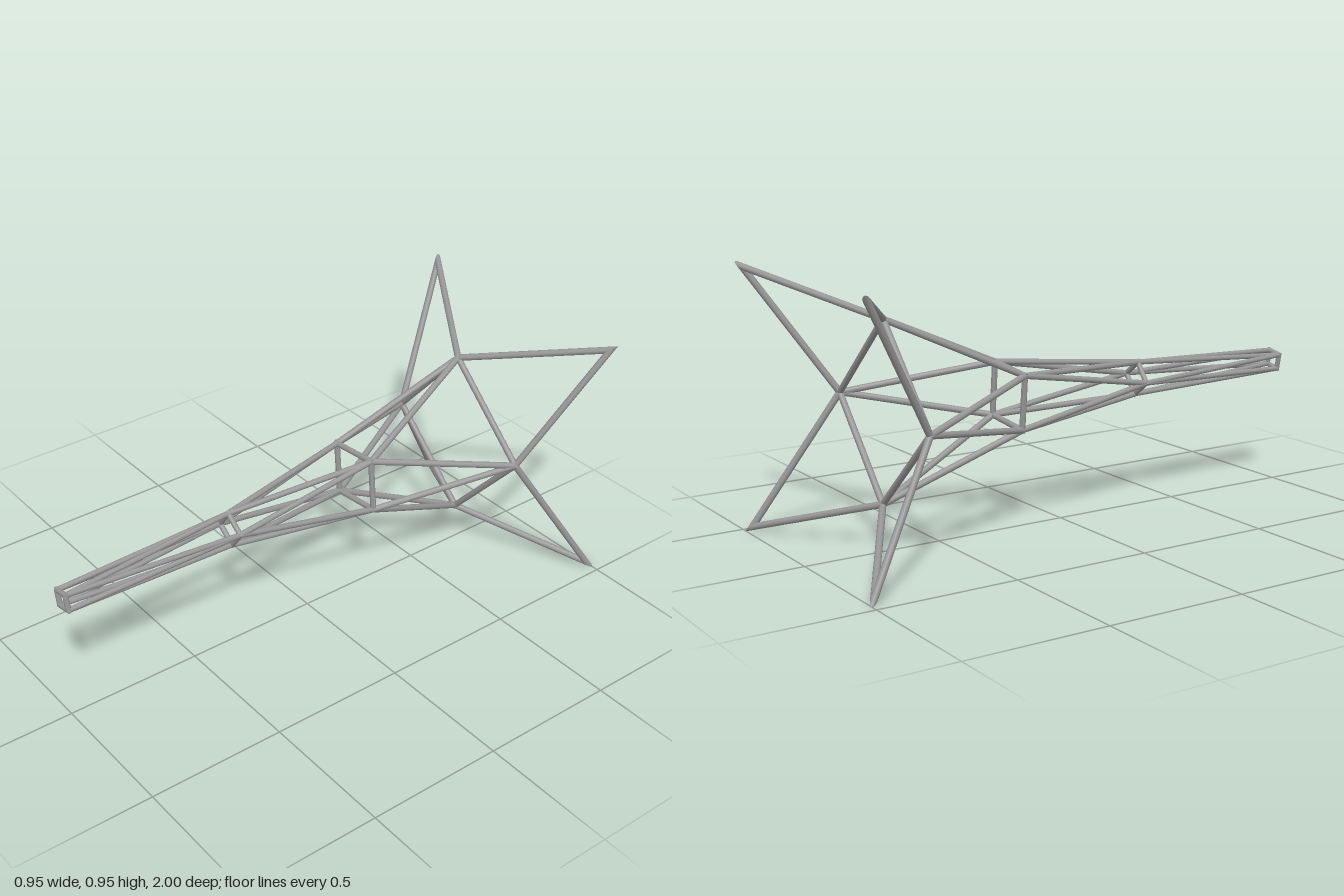
import * as THREE from 'three';

const steel = new THREE.MeshStandardMaterial({ color: 0x969696 });
steel.name = 'grey steel';

const CENTRE_Y = 0.4725;
// rings of four nodes from the wide back to the narrow front; each turns 45 degrees plus a slight twist
const rings = [
  { name: 'tip', radius: 0.643, z: -0.984, tube: 0.012 },
  { name: 'rear', radius: 0.315, z: -0.703, tube: 0.0115 },
  { name: 'shoulder', radius: 0.137, z: -0.216, tube: 0.0105 },
  { name: 'neck', radius: 0.061, z: 0.332, tube: 0.0095 },
  { name: 'nose', radius: 0.039, z: 0.989, tube: 0.0095 },
];

function angleOf(ring, k) {
  return THREE.MathUtils.degToRad(45 + ring * 47.75 + k * 90);
}

function node(ring, k) {
  const { radius, z } = rings[ring];
  const a = angleOf(ring, k);
  return new THREE.Vector3(radius * Math.cos(a), CENTRE_Y + radius * Math.sin(a), z);
}

// plane normal that mitres two struts meeting at a node
function tangent(ring, k) {
  const a = angleOf(ring, k);
  return new THREE.Vector3(-Math.sin(a), Math.cos(a), 0);
}

// round strut from a to b; an end with a normal is cut along that plane
function strut(name, a, b, radius, normalA, normalB) {
  const dir = b.clone().sub(a);
  const length = dir.length();
  dir.normalize();
  const geo = new THREE.CylinderGeometry(radius, radius, length, 12);
  const turn = new THREE.Quaternion().setFromUnitVectors(new THREE.Vector3(0, 1, 0), dir);
  geo.applyQuaternion(turn);
  const mid = a.clone().add(b).multiplyScalar(0.5);
  geo.translate(mid.x, mid.y, mid.z);
  const pos = geo.attributes.position;
  const v = new THREE.Vector3();
  for (let i = 0; i < pos.count; i++) {
    v.fromBufferAttribute(pos, i);
    const atB = v.clone().sub(mid).dot(dir) > 0;
    const normal = atB ? normalB : normalA;
    if (!normal) continue;
    const offset = v.clone().sub(atB ? b : a).dot(normal);
    v.addScaledVector(dir, -offset / dir.dot(normal));
    pos.setXYZ(i, v.x, v.y, v.z);
  }
  const mesh = new THREE.Mesh(geo, steel);
  mesh.name = name;
  return mesh;
}

export function createModel() {
  const model = new THREE.Group();
  model.name = 'latticeTower';

  rings.forEach((ring, i) => {
    // closed square frame (the outer tips stay open)
    if (i > 0) {
      const frame = new THREE.Group();
      frame.name = ring.name + 'Frame';
      for (let k = 0; k < 4; k++) {
        frame.add(strut('frameStrut', node(i, k), node(i, k + 1), ring.tube,
          tangent(i, k), tangent(i, k + 1)));
      }
      model.add(frame);
    }
    // zigzag struts to the next frame
    if (i < rings.length - 1) {
      const bracing = new THREE.Group();
      bracing.name = ring.name + 'Bracing';
      for (let k = 0; k < 4; k++) {
        const cut = i === 0 ? tangent(i, k) : null; // pointed outer tips
        for (const side of [0, -1]) {
          bracing.add(strut('braceStrut', node(i, k), node(i + 1, k + side), ring.tube, cut, null));
        }
      }
      model.add(bracing);
    }
  });

  return model;
}
